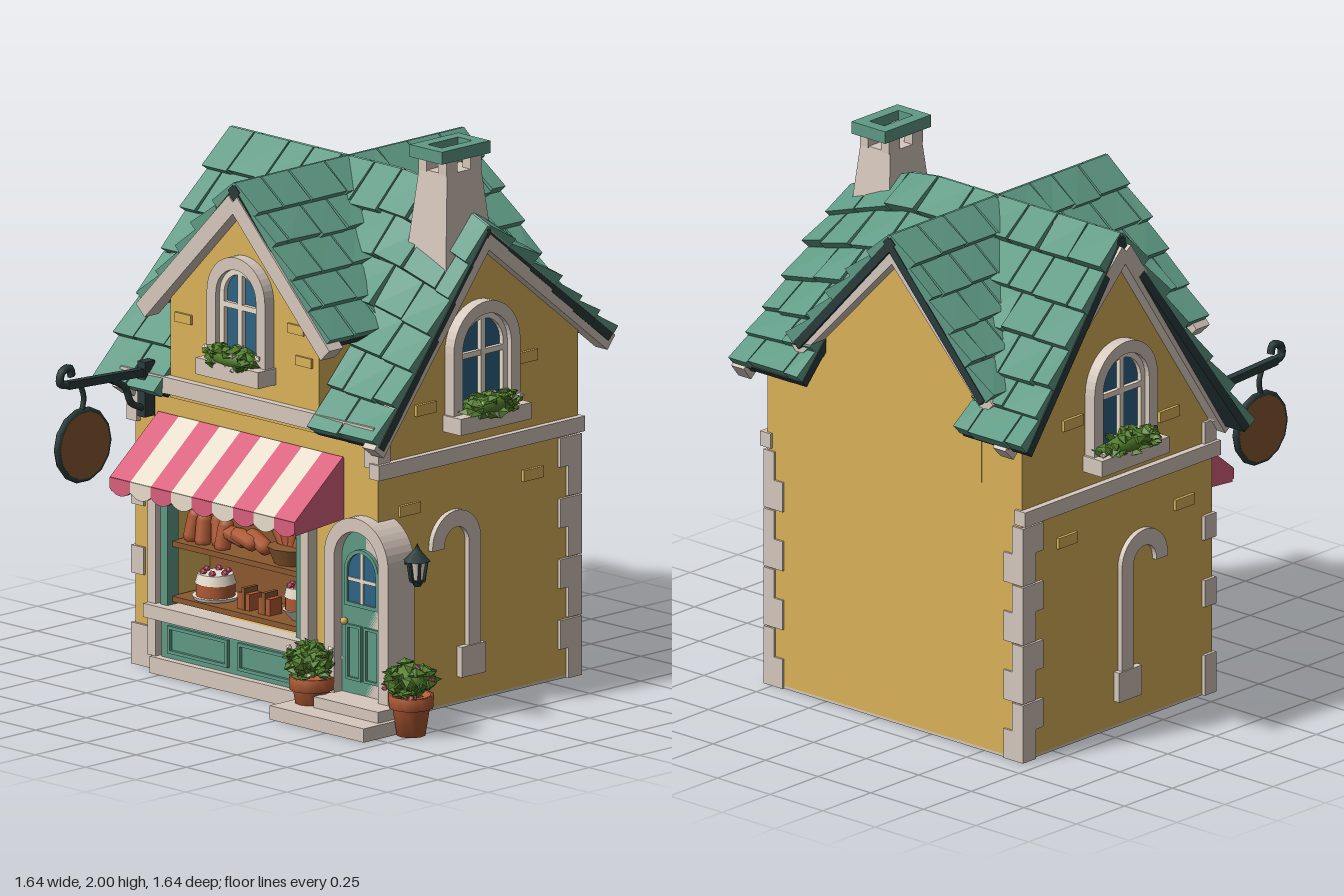
import * as THREE from 'three';
import { mergeGeometries } from 'three/addons/utils/BufferGeometryUtils.js';

const mat = (name, color) => { const m = new THREE.MeshStandardMaterial({ color }); m.name = name; return m; };
const M = {
  roof: mat('roofGreen', 0x5f9a85), dark: mat('darkIron', 0x2b3b3b), wall: mat('yellowPlaster', 0xdab35a),
  stone: mat('paleStone', 0xd6c8bd), pink: mat('pink', 0xd9607c), glass: mat('blueGlass', 0x2d6384),
  wood: mat('brownWood', 0x8a5930), clay: mat('terracotta', 0xb05a34), leaf: mat('leafGreen', 0x55812f),
  cream: mat('cream', 0xeee3d2),
};
let seed = 7;
const rnd = () => (seed = (seed * 16807) % 2147483647) / 2147483647;
const jit = a => (rnd() - 0.5) * 2 * a;
const lerp = THREE.MathUtils.lerp;
const V = (x, y, z) => new THREE.Vector3(x, y, z);

function add(parent, name, geo, m, x = 0, y = 0, z = 0) {
  const mesh = new THREE.Mesh(geo, m);
  mesh.name = name;
  mesh.position.set(x, y, z);
  parent.add(mesh);
  return mesh;
}
// box given by its limits
const box = (p, name, m, x0, x1, y0, y1, z0, z1) =>
  add(p, name, new THREE.BoxGeometry(x1 - x0, y1 - y0, z1 - z0), m, (x0 + x1) / 2, (y0 + y1) / 2, (z0 + z1) / 2);
// bar running from a to b
function beam(p, name, m, a, b, w, h) {
  const mesh = add(p, name, new THREE.BoxGeometry(w, h, a.distanceTo(b)), m);
  mesh.position.copy(a).lerp(b, 0.5);
  mesh.lookAt(b);
  return mesh;
}
const poly = pts => new THREE.Shape(pts.map(([x, y]) => new THREE.Vector2(x, y)));
const extrude = (shape, depth) => new THREE.ExtrudeGeometry(shape, { depth, bevelEnabled: false, curveSegments: 10 });
// outline with a round top, standing on y0
function archShape(w, y0, y1, Kind = THREE.Shape) {
  const r = w / 2, s = new Kind();
  s.moveTo(-r, y0); s.lineTo(r, y0); s.lineTo(r, y1 - r);
  s.absarc(0, y1 - r, r, 0, Math.PI, false); s.lineTo(-r, y0);
  return s;
}
function archRing(w, y0, y1, t, tBase) {
  const s = archShape(w, y0, y1);
  s.holes.push(archShape(w - 2 * t, y0 + tBase, y1 - t, THREE.Path));
  return s;
}

// Roof tiles laid in staggered rows over the patch P(u, v), v running down the slope
function tiles(parent, name, P, u0, u1, v0, v1, rows, cols) {
  const top = [], under = [];
  const solid = (out, t, b) => {
    const quad = (a, c, d, e) => [a, c, d, a, d, e].forEach(p => out.push(p.x, p.y, p.z));
    quad(...t); quad(b[3], b[2], b[1], b[0]);
    for (let i = 0; i < 4; i++) { const j = (i + 1) % 4; quad(b[i], b[j], t[j], t[i]); }
  };
  const cell = (out, ua, ub, va, vb, hi) => {
    let c = [P(ua, va), P(ub, va), P(ub, vb), P(ua, vb)];
    const n = c[1].clone().sub(c[0]).cross(c[3].clone().sub(c[0])).normalize();
    if (n.y < 0) { n.negate(); c.reverse(); hi = [...hi].reverse(); }
    const lo = out === top ? -0.012 : -0.04;
    solid(out, c.map((p, i) => p.clone().addScaledVector(n, hi[i])), c.map(p => p.clone().addScaledVector(n, lo)));
  };
  const dv = (v1 - v0) / rows, du = (u1 - u0) / cols;
  for (let r = 0; r < rows; r++) {
    const edges = [u0];
    for (let k = r % 2 ? 0.5 : 1; k < cols - 0.2; k++) edges.push(u0 + du * (k + jit(0.13)));
    edges.push(u1);
    for (let i = 0; i + 1 < edges.length; i++) {
      const a = edges[i], b = edges[i + 1], va = v0 + r * dv, l = 0.034 + jit(0.008);
      cell(under, a, b, va, va + dv, [-0.008, -0.008, -0.008, -0.008]);
      const g = (b - a) * 0.025;
      cell(top, a + g, b - g, va, va + dv * (1.02 + jit(0.05)), [0.006, 0.006, l + jit(0.005), l + jit(0.005)]);
    }
  }
  [[top, M.roof, ''], [under, M.dark, 'Underlay']].forEach(([arr, m, s]) => {
    const g = new THREE.BufferGeometry();
    g.setAttribute('position', new THREE.Float32BufferAttribute(arr, 3));
    g.computeVertexNormals();
    add(parent, name + s, g, m);
  });
}

// Leaves and blossoms filling an ellipsoid
function foliage(p, name, rx, ry, rz, n, x, y, z, blossoms) {
  const g = new THREE.Group(); g.name = name; g.position.set(x, y, z); p.add(g);
  const scatter = (count, size, squash, out) => mergeGeometries(Array.from({ length: count }, () => {
    const d = V(jit(1), jit(1), jit(1)).normalize().multiplyScalar(out * (0.75 + 0.25 * rnd()));
    return new THREE.OctahedronGeometry(size).scale(1, squash, 0.7).rotateX(jit(1)).rotateY(jit(3)).rotateZ(jit(0.8))
      .translate(d.x * rx, d.y * ry, d.z * rz);
  }));
  add(g, 'leaves', scatter(n, 0.034, 0.45, 0.85), M.leaf);
  add(g, 'core', new THREE.IcosahedronGeometry(1, 1).scale(rx * 0.75, ry * 0.75, rz * 0.75), M.leaf);
  add(g, 'blossoms', scatter(9, 0.017, 0.7, 1.05), blossoms);
}

// Arched window with planter, facing +z, base at the origin
function archWindow(p, name, w, h, x, y, z, turn) {
  const g = new THREE.Group(); g.name = name; g.position.set(x, y, z); g.rotation.y = turn; p.add(g);
  add(g, 'surround', extrude(archRing(w, 0, h, 0.045, 0.05), 0.045), M.stone);
  add(g, 'glass', extrude(archShape(w - 0.08, 0.04, h - 0.04), 0.008), M.glass);
  add(g, 'sash', extrude(archRing(w - 0.088, 0.045, h - 0.044, 0.022, 0.02), 0.025), M.cream);
  box(g, 'mullion', M.cream, -0.011, 0.011, 0.05, h - 0.05, 0, 0.025);
  box(g, 'transom', M.cream, -w / 2 + 0.05, w / 2 - 0.05, h * 0.55, h * 0.55 + 0.02, 0, 0.024);
  box(g, 'planter', M.stone, -w / 2 - 0.01, w / 2 + 0.01, -0.01, 0.05, 0, 0.09);
  foliage(g, 'planterFlowers', w / 2 + 0.01, 0.05, 0.055, 60, 0, 0.07, 0.06, M.cream);
}

export function createModel() {
  const root = new THREE.Group(); root.name = 'bakeryHouse';

  // Walls: solid rear, front wall with shop opening, gable prisms
  box(root, 'rearWalls', M.wall, -0.68, 0.53, 0.01, 1.03, -0.66, 0.13);
  box(root, 'floor', M.stone, -0.68, 0.53, 0, 0.01, -0.66, 0.33);
  const front = poly([[-0.68, 0.01], [0.53, 0.01], [0.53, 1.06], [-0.68, 1.06]]);
  front.holes.push(poly([[-0.5, 0.25], [-0.5, 0.67], [0.19, 0.67], [0.19, 0.25]]));
  add(root, 'frontWall', extrude(front, 0.2), M.wall, 0, 0, 0.13);
  const sideGable = (x0, x1, peak) => {
    const s = poly([[-0.33, 1], [0.66, 1], [0.66, 1.3], [0.17, peak], [-0.33, 1.06]]);
    add(root, 'sideGableWall', extrude(s, x1 - x0), M.wall, x0, 0, 0).rotation.y = Math.PI / 2;
  };
  sideGable(-0.68, 0.2, 1.77);
  sideGable(0.2, 0.53, 1.64);
  add(root, 'crossGableWall', extrude(poly([[-0.49, 1], [0.25, 1], [0.25, 1.38], [-0.12, 1.77], [-0.49, 1.38]]), 1.005), M.wall, 0, 0, -0.661);

  // Main roof along x and cross roof along z
  const ridgeY = x => 1.85 - Math.max(0, x - 0.25) * 0.4;
  const slope = (ze, ye) => (u, v) => {
    const x = lerp(lerp(-0.71, -0.82, v), 0.58, u);
    return V(x, lerp(ridgeY(x), ye, v), lerp(-0.17, ze, v));
  };
  [['Front', slope(0.38, 1.02), 0.5, 3, 3], ['Rear', slope(-0.79, 1.23), 0.72, 4, 2]].forEach(([n, P, cut, r1, r2]) => {
    tiles(root, 'upperRoof' + n, P, 0, 1, 0, cut, r1, 9);
    tiles(root, 'lowerRoofLeft' + n, P, 0, 0.23, cut, 1, r2, 2);
    tiles(root, 'lowerRoofRight' + n, P, 0.765, 1, cut, 1, r2, 2);
  });
  [-1, 1].forEach(s => {
    tiles(root, 'crossRoof', (u, v) => V(-0.12 + s * 0.46 * v, 1.85 - 0.5 * v, lerp(0.4, -0.74, u)), 0, 1, 0, 1, 5, 8);
    [0.37, -0.69].forEach(z => beam(root, 'bargeboard', M.stone, V(-0.12 + s * 0.46, 1.31, z), V(-0.12, 1.785, z), 0.07, 0.06));
  });
  [[0.545, 1.675], [-0.7, 1.79]].forEach(([x, peak]) => {
    beam(root, 'sideBargeboard', M.stone, V(x, 0.99, 0.37), V(x, peak, -0.17), 0.06, 0.06);
    beam(root, 'sideBargeboard', M.stone, V(x, 1.19, -0.78), V(x, peak, -0.17), 0.06, 0.06);
  });

  // Chimney
  const stack = new THREE.CylinderGeometry(0.099, 0.146, 0.37, 4, 1).rotateY(Math.PI / 4).toNonIndexed();
  stack.scale(1, 1, 1.2); stack.computeVertexNormals();
  add(root, 'chimneyStack', stack, M.stone, 0.415, 1.725, -0.14);
  [-1, 1].forEach(s => [-1, 1].forEach(t =>
    add(root, 'chimneyPost', new THREE.BoxGeometry(0.04, 0.06, 0.055), M.stone, 0.415 + s * 0.05, 1.935, -0.14 + t * 0.06)));
  const cap = poly([[-0.08, -0.12], [0.08, -0.12], [0.08, 0.12], [-0.08, 0.12]]);
  cap.holes.push(poly([[-0.035, -0.075], [-0.035, 0.075], [0.035, 0.075], [0.035, -0.075]]));
  add(root, 'chimneyCap', extrude(cap, 0.045), M.roof, 0.415, 1.955, -0.14).rotation.x = -Math.PI / 2;
  box(root, 'flue', M.wood, 0.37, 0.46, 1.955, 1.963, -0.23, -0.05);

  // Stone bands, corner blocks and blind arches
  box(root, 'frontBand', M.stone, -0.71, 0.55, 1.02, 1.08, 0.31, 0.375);
  [-1, 1].forEach(s => {
    const w = s > 0 ? 0.53 : -0.68;
    box(root, 'sideBand', M.stone, w - 0.025, w + 0.025, 0.885, 0.94, -0.67, 0.35);
    for (let i = 0; i < 8; i++) {
      const y = i * 0.11, l = i % 2 ? 0.06 : 0.1;
      box(root, 'rearCornerBlock', M.stone, w - (s > 0 ? l - 0.02 : 0.012), w + (s > 0 ? 0.012 : l - 0.02), y, y + (i % 2 ? 0.105 : 0.11), -0.668, -0.66 + 0.16 - l);
    }
    [[0, 0.15, 0.09], [0.33, 0.1, 0.05], [0.58, 0.09, 0.05], [0.92, 0.1, 0.06]].forEach(([y, h, l]) =>
      box(root, 'frontCornerBlock', M.stone, s > 0 ? w - l : w - 0.012, s > 0 ? w + 0.012 : w + l, y, y + h, 0.28, 0.34));
    const hook = new THREE.Shape();
    hook.moveTo(-0.12, 0.58); hook.lineTo(-0.06, 0.58); hook.absarc(0, 0.59, 0.06, Math.PI, 0, true);
    hook.lineTo(0.06, 0.2); hook.lineTo(0.12, 0.2); hook.lineTo(0.12, 0.59); hook.absarc(0, 0.59, 0.12, 0, Math.PI, false);
    add(root, 'blindArch', extrude(hook, 0.04), M.stone, w - 0.02, 0, -0.04).rotation.y = Math.PI / 2;
    box(root, 'archFoot', M.stone, w - 0.025, w + 0.025, 0.1, 0.21, -0.18, -0.06);
    [[0.18, 0.75], [-0.43, 0.77], [-0.4, 1.2], [0.1, 1.1]].forEach(([z, y]) =>
      box(root, 'exposedBrick', M.wall, w - 0.012, w + 0.012, y - 0.02, y + 0.02, z - 0.05, z + 0.05));
    archWindow(root, 'sideWindow', 0.33, 0.44, w, 1.01, -0.165, s * Math.PI / 2);
  });
  archWindow(root, 'frontWindow', 0.29, 0.43, -0.12, 1.15, 0.344, 0);
  [[0.18, 1.25], [0.14, 1.36], [-0.42, 1.3]].forEach(([x, y]) => box(root, 'exposedBrick', M.wall, x - 0.04, x + 0.04, y - 0.017, y + 0.017, 0.34, 0.354));

  // Shop front
  box(root, 'shopPlinth', M.stone, -0.55, 0.24, 0, 0.06, 0.32, 0.39);
  box(root, 'shopPanel', M.roof, -0.52, 0.21, 0.06, 0.2, 0.32, 0.36);
  [-0.33, 0.02].forEach(x => add(root, 'panelMoulding', extrude(archlessFrame(0.3, 0.1, 0.012), 0.012), M.roof, x, 0.13, 0.36));
  box(root, 'shopSill', M.stone, -0.57, 0.23, 0.2, 0.25, 0.31, 0.4);
  [-0.555, 0.205].forEach(x => box(root, 'shopPier', M.stone, x - 0.02, x + 0.02, 0.06, 0.69, 0.32, 0.375));
  [-0.505, 0.17].forEach(x => box(root, 'shopPost', M.roof, x - 0.015, x + 0.02, 0.25, 0.68, 0.31, 0.365));
  box(root, 'shopHead', M.stone, -0.57, 0.22, 0.655, 0.69, 0.31, 0.37);
  box(root, 'displayBack', M.wood, -0.5, 0.19, 0.25, 0.67, 0.13, 0.138);
  [0.26, 0.46].forEach(y => box(root, 'shelf', M.wood, -0.49, 0.16, y, y + 0.02, 0.14, 0.34));
  for (let i = 0; i < 7; i++) {
    const loaf = add(root, 'loaf', new THREE.CapsuleGeometry(0.03, 0.07, 3, 7), M.clay, -0.44 + i * 0.053, 0.53 + jit(0.008), 0.27 + jit(0.02));
    loaf.rotation.set(-0.2, 0, i < 4 ? jit(0.4) : 1.2 + jit(0.3));
  }
  add(root, 'basket', new THREE.CylinderGeometry(0.095, 0.07, 0.06, 10), M.wood, 0.03, 0.51, 0.25);
  for (let i = 0; i < 5; i++)
    add(root, 'basketRoll', new THREE.CapsuleGeometry(0.024, 0.06, 3, 7), M.clay, -0.03 + i * 0.032, 0.56, 0.25).rotation.z = 0.6 - i * 0.35;
  const cake = (x, r, y) => {
    add(root, 'cakeBody', new THREE.CylinderGeometry(r, r, 0.05, 14), M.clay, x, y + 0.025, 0.26);
    add(root, 'icing', new THREE.CylinderGeometry(r * 0.9, r * 1.06, 0.035, 14), M.cream, x, y + 0.062, 0.26);
    for (let i = 0; i < 6; i++)
      add(root, 'berry', new THREE.IcosahedronGeometry(0.014, 0), M.pink, x + Math.cos(i * 1.047) * r * 0.65, y + 0.085, 0.26 + Math.sin(i * 1.047) * r * 0.65);
  };
  add(root, 'cakePlate', new THREE.CylinderGeometry(0.085, 0.08, 0.012, 14), M.cream, -0.35, 0.29, 0.26);
  cake(-0.35, 0.07, 0.296);
  add(root, 'cakeStand', new THREE.CylinderGeometry(0.06, 0.025, 0.04, 12), M.cream, 0.065, 0.3, 0.26);
  cake(0.065, 0.05, 0.32);
  [-0.17, -0.07].forEach(x => { box(root, 'parcel', M.clay, x - 0.03, x + 0.03, 0.28, 0.34, 0.24, 0.3); box(root, 'parcelTie', M.wood, x - 0.008, x + 0.008, 0.28, 0.36, 0.238, 0.303); });

  // Striped awning with scalloped edge
  const N = 9, sw = 0.92 / N;
  for (let i = 0; i < N; i++) {
    const x = -0.56 + sw * (i + 0.5), m = i % 2 ? M.cream : M.pink;
    beam(root, 'awningStripe', m, V(x, 0.93, 0.33), V(x, 0.735, 0.57), sw, 0.016);
    const flap = new THREE.Shape();
    flap.moveTo(-sw / 2, 0.04); flap.lineTo(-sw / 2, 0); flap.quadraticCurveTo(0, -0.04, sw / 2, 0); flap.lineTo(sw / 2, 0.04);
    add(root, 'awningScallop', extrude(flap, 0.014), m, x, 0.7, 0.562);
  }
  [-0.56, 0.35].forEach(x => add(root, 'awningSide', extrude(poly([[-0.33, 0.93], [-0.57, 0.735], [-0.57, 0.69], [-0.33, 0.71]]), 0.01), M.pink, x, 0, 0).rotation.y = Math.PI / 2);

  // Door, porch arch and steps
  box(root, 'lowerStep', M.stone, 0.22, 0.69, 0, 0.05, 0.25, 0.56);
  box(root, 'upperStep', M.stone, 0.35, 0.67, 0.05, 0.09, 0.25, 0.47);
  add(root, 'porchArch', extrude(archRing(0.32, 0.02, 0.74, 0.05, 0.06), 0.13), M.stone, 0.47, 0, 0.25);
  add(root, 'door', extrude(archShape(0.23, 0.08, 0.695), 0.07), M.roof, 0.47, 0, 0.27);
  add(root, 'doorGlass', extrude(archShape(0.15, 0.42, 0.61), 0.006), M.glass, 0.47, 0, 0.34);
  add(root, 'doorGlassFrame', extrude(archRing(0.17, 0.41, 0.62, 0.014, 0.014), 0.015), M.roof, 0.47, 0, 0.34);
  box(root, 'doorGlazingBar', M.cream, 0.463, 0.477, 0.42, 0.61, 0.34, 0.352);
  box(root, 'doorGlazingBar', M.cream, 0.4, 0.54, 0.5, 0.513, 0.34, 0.351);
  [0.425, 0.515].forEach(x => add(root, 'doorPanel', extrude(archlessFrame(0.075, 0.2, 0.01), 0.01), M.roof, x, 0.24, 0.34));
  add(root, 'doorKnob', new THREE.SphereGeometry(0.014, 8, 6), M.wall, 0.385, 0.35, 0.355);

  // Lantern
  beam(root, 'lanternArm', M.dark, V(0.61, 0.58, 0.29), V(0.68, 0.64, 0.29), 0.014, 0.014);
  add(root, 'lanternRoof', new THREE.CylinderGeometry(0.012, 0.05, 0.04, 6), M.dark, 0.685, 0.63, 0.29);
  add(root, 'lanternFinial', new THREE.ConeGeometry(0.014, 0.03, 6), M.dark, 0.685, 0.66, 0.29);
  add(root, 'lanternLight', new THREE.CylinderGeometry(0.034, 0.022, 0.07, 6), M.cream, 0.685, 0.575, 0.29);
  for (let i = 0; i < 6; i++) {
    const c = Math.cos(i * 1.0472 + 0.5236), s = Math.sin(i * 1.0472 + 0.5236);
    beam(root, 'lanternRib', M.dark, V(0.685 + c * 0.024, 0.535, 0.29 + s * 0.024), V(0.685 + c * 0.036, 0.615, 0.29 + s * 0.036), 0.009, 0.009);
  }
  add(root, 'lanternBase', new THREE.CylinderGeometry(0.028, 0.012, 0.025, 6), M.dark, 0.685, 0.53, 0.29);

  // Flower pots
  const pot = [[0.001, 0], [0.052, 0], [0.068, 0.1], [0.08, 0.1], [0.083, 0.145], [0.068, 0.145], [0.06, 0.12], [0.001, 0.12]].map(p => new THREE.Vector2(...p));
  [[0.29, 0.42, M.cream], [0.725, 0.36, M.pink]].forEach(([x, z, m]) => {
    add(root, 'flowerPot', new THREE.LatheGeometry(pot, 12), M.clay, x, 0, z);
    foliage(root, 'potFlowers', 0.1, 0.075, 0.1, 80, x, 0.2, z, m);
  });

  // Hanging sign
  const X = -0.59;
  box(root, 'signWallPlate', M.dark, X - 0.018, X + 0.018, 0.92, 1.12, 0.34, 0.39);
  beam(root, 'signArm', M.dark, V(X, 1.08, 0.36), V(X, 1.1, 0.76), 0.028, 0.028);
  const tube = (name, pts, r) => add(root, name, new THREE.TubeGeometry(new THREE.CatmullRomCurve3(pts.map(([y, z]) => V(X, y, z))), 16, r, 6), M.dark);
  tube('signCurl', [[1.1, 0.74], [1.11, 0.79], [1.15, 0.785], [1.16, 0.745], [1.13, 0.735]], 0.015);
  tube('signStrut', [[0.95, 0.38], [0.98, 0.44], [1.04, 0.47], [1.085, 0.55]], 0.013);
  tube('signHook', [[1.09, 0.69], [1.04, 0.675], [0.99, 0.685]], 0.01);
  add(root, 'signBoard', new THREE.CylinderGeometry(0.122, 0.122, 0.026, 14), M.wood, X, 0.87, 0.68).rotation.z = Math.PI / 2;
  add(root, 'signRim', new THREE.TorusGeometry(0.124, 0.014, 6, 14), M.dark, X, 0.87, 0.68).rotation.y = Math.PI / 2;
  return root;
}

// rectangular moulding centred on the origin
function archlessFrame(w, h, t) {
  const rect = (a, b) => poly([[-a, -b], [a, -b], [a, b], [-a, b]]);
  const s = rect(w / 2, h / 2);
  s.holes.push(rect(w / 2 - t, h / 2 - t));
  return s;
}
